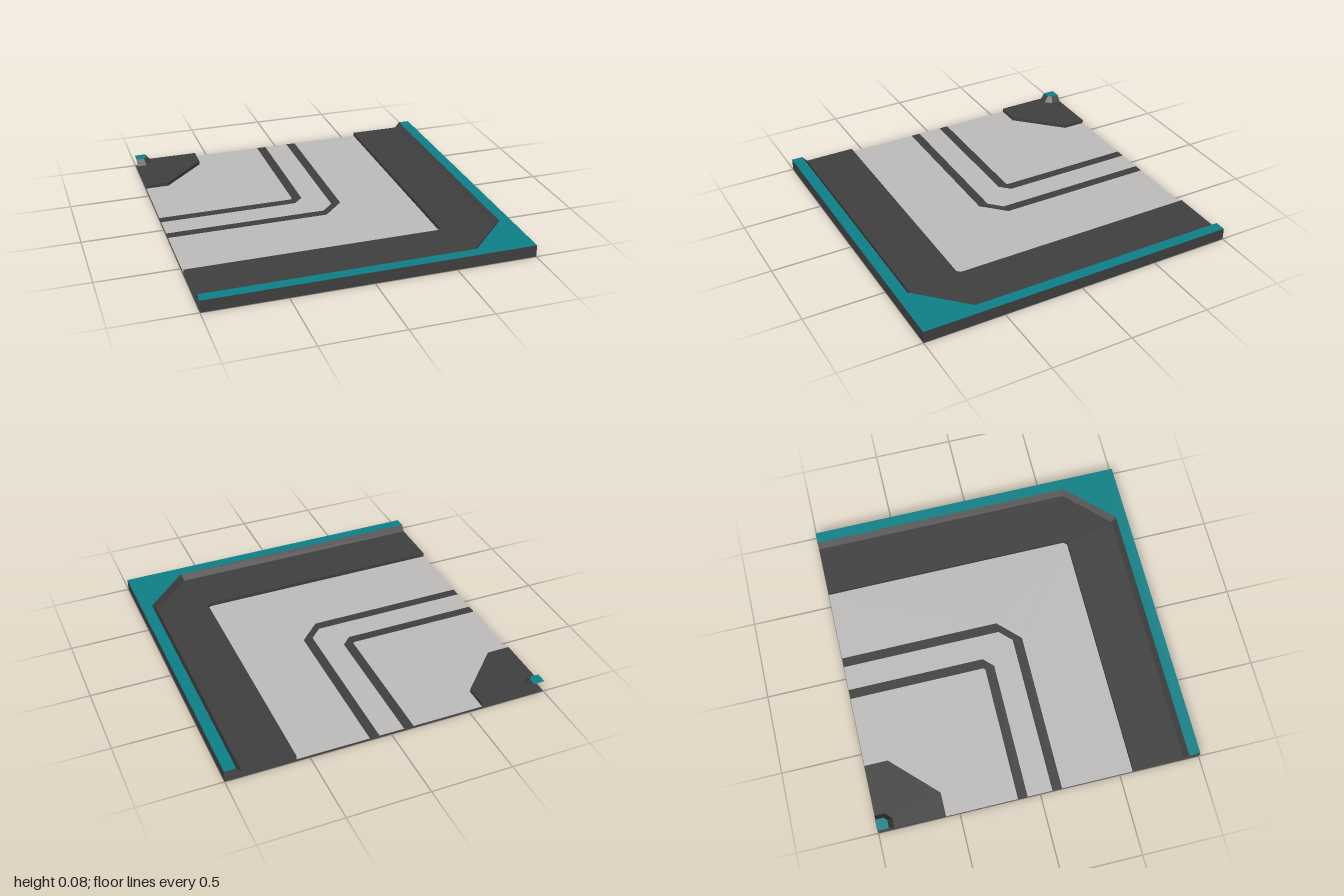
import * as THREE from 'three';

const material = (name, color) => {
  const m = new THREE.MeshStandardMaterial({ color, side: THREE.DoubleSide });
  m.name = name;
  return m;
};

// L-shaped path around the back corner: straight edges at e, bevelled from c to e
const cornerPath = ([e, c, y]) => [[-1, y, e], [c, y, e], [e, y, c], [e, y, -1]];

// Flat-sided strip joining two corner paths
function stripGeometry(inner, outer) {
  const a = cornerPath(inner), b = cornerPath(outer), pos = [];
  for (let i = 0; i < 3; i++) {
    for (const p of [a[i], b[i], b[i + 1], a[i], b[i + 1], a[i + 1]]) pos.push(...p);
  }
  const g = new THREE.BufferGeometry();
  g.setAttribute('position', new THREE.Float32BufferAttribute(pos, 3));
  g.computeVertexNormals();
  return g;
}

export function createModel() {
  const teal = material('teal', 0x0d8188);
  const dark = material('dark grey', 0x404040);
  const pale = material('pale grey', 0xbfbdbb);
  const road = 0.015, walk = 0.038, top = 0.075;

  const group = new THREE.Group();
  group.name = 'cornerTile';
  const add = (name, geometry, mat) => {
    const mesh = new THREE.Mesh(geometry, mat);
    mesh.name = name;
    group.add(mesh);
  };

  // Cross-section from the back corner outwards: path [edge, bevel, height], then the part ending there
  let previous = [-1, -1, top];
  const section = [
    [[-0.93, -0.95, top], 'innerRimTop', teal],
    [[-0.9, -0.938, walk], 'innerRimSlope', dark],
    [[-0.585, -0.855, walk], 'innerWalkway', dark],
    [[-0.585, -0.855, road], 'innerKerb', dark],
    [[-0.14, -0.15, road], 'innerLane', pale],
    [[-0.08, -0.14, road], 'innerStripe', dark],
    [[0.075, 0, road], 'middleLane', pale],
    [[0.135, 0, road], 'outerStripe', dark],
    [[0.58, 0.56, road], 'outerLane', pale],
    [[0.58, 0.56, walk], 'outerKerb', dark],
    [[0.9, 0.638, walk], 'outerWalkway', dark],
    [[0.93, 0.65, top], 'outerRimSlope', dark],
    [[1, 1, top], 'outerRimTop', teal],
    [[1, 1, 0], 'outerWall', dark],
  ];
  for (const [path, name, mat] of section) {
    add(name, stripGeometry(previous, path), mat);
    previous = path;
  }

  // Underside
  add('underside', new THREE.PlaneGeometry(2, 2).rotateX(Math.PI / 2), dark);
  return group;
}
